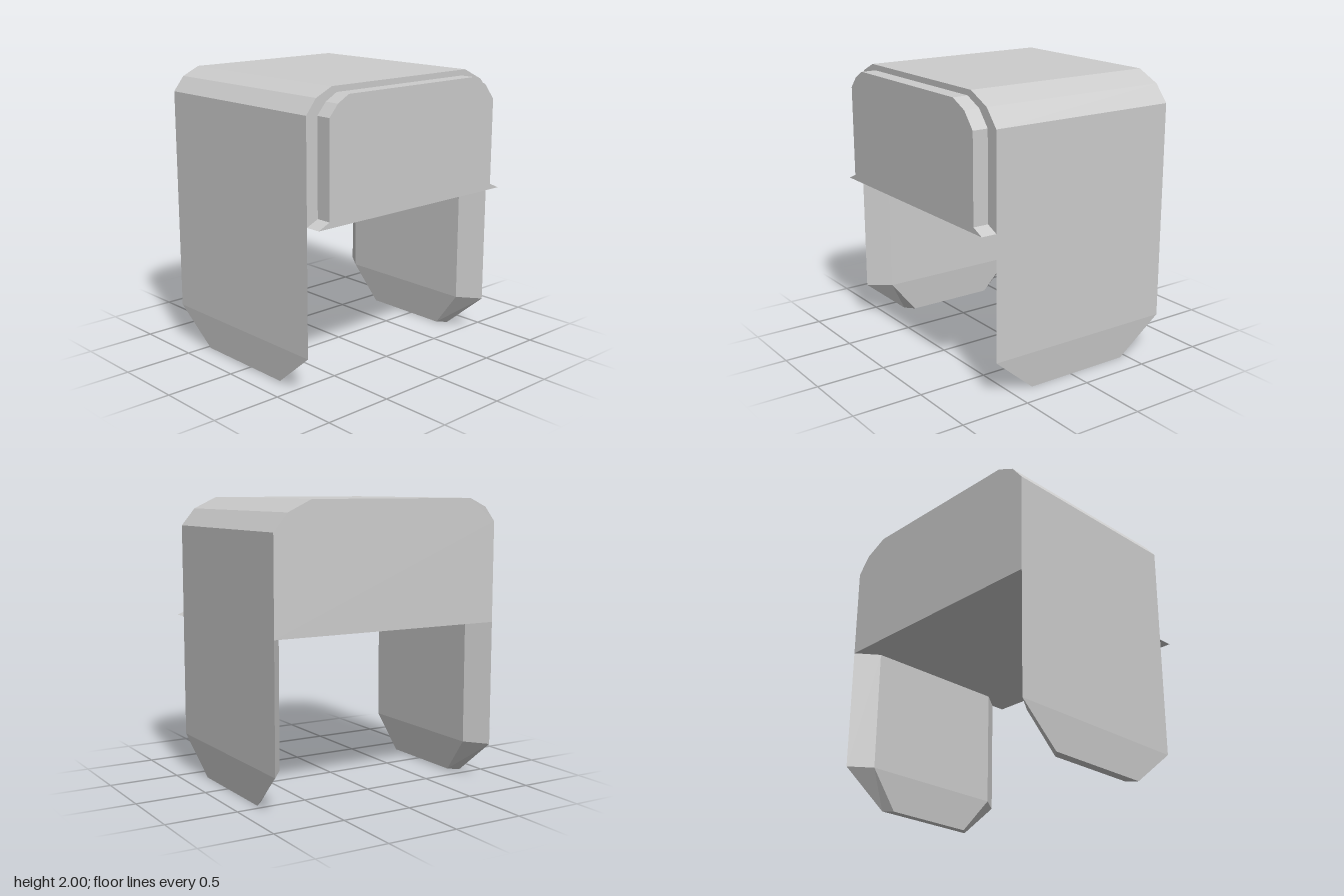
import * as THREE from 'three';

const material = new THREE.MeshStandardMaterial({ color: 0xcccccc, flatShading: true });

function addMesh(group, geometry, name) {
  const mesh = new THREE.Mesh(geometry, material);
  mesh.name = name;
  group.add(mesh);
}

// Solid made from a side outline of [z, y] points, running from x0 to x1
function sideExtrusion(points, x0, x1) {
  const shape = new THREE.Shape(points.map(([z, y]) => new THREE.Vector2(-z, y)));
  const geometry = new THREE.ExtrudeGeometry(shape, { depth: x1 - x0, bevelEnabled: false });
  return geometry.rotateY(Math.PI / 2).translate(x0, 0, 0);
}

// Four-cornered cross-sections joined from bottom to top, with a bottom cap.
// Each level gives y, outer and inner z, and the x range of both faces.
function flapGeometry(levels, side) {
  const rings = levels.map(({ y, outerZ, innerZ, outerX, innerX }) => {
    const ring = [
      [outerX[0], y, side * outerZ], [outerX[1], y, side * outerZ],
      [innerX[1], y, side * innerZ], [innerX[0], y, side * innerZ],
    ];
    return side > 0 ? ring : ring.reverse();
  });
  const positions = [];
  const quad = (a, b, c, d) => positions.push(...a, ...b, ...c, ...a, ...c, ...d);
  for (let k = 0; k < rings.length - 1; k++) {
    const low = rings[k], high = rings[k + 1];
    for (let i = 0; i < 4; i++) {
      const j = (i + 1) % 4;
      quad(low[i], low[j], high[j], high[i]);
    }
  }
  quad(...[...rings[0]].reverse());
  const geometry = new THREE.BufferGeometry();
  geometry.setAttribute('position', new THREE.Float32BufferAttribute(positions, 3));
  geometry.computeVertexNormals();
  return geometry;
}

export function createModel() {
  const group = new THREE.Group();
  group.name = 'bracketCover';

  // Main block with bevelled upper edges
  addMesh(group, sideExtrusion([
    [0.86, 1.14], [0.86, 1.84], [0.78, 1.94], [0.65, 2],
    [-0.59, 2], [-0.76, 1.92], [-0.86, 1.8], [-0.86, 1.14],
  ], -0.76, 0.645), 'body');

  // Inset end plate with a flared lower lip
  addMesh(group, sideExtrusion([
    [0.86, 1.14], [0.77, 1.18], [0.77, 1.83], [0.7, 1.91], [0.61, 1.96],
    [-0.555, 1.96], [-0.68, 1.9], [-0.77, 1.79], [-0.77, 1.18], [-0.86, 1.14],
  ], 0.645, 0.755), 'endPlate');

  // Hanging flaps: chamfered on the inside, tapered at the bottom
  const flaps = [
    { name: 'frontFlap', side: 1, bottomY: 0.01, tipOuter: 0.84, tipInner: 0.775 },
    { name: 'backFlap', side: -1, bottomY: 0, tipOuter: 0.83, tipInner: 0.775 },
  ];
  for (const { name, side, bottomY, tipOuter, tipInner } of flaps) {
    const full = { outerZ: 0.86, innerZ: 0.745, outerX: [-0.76, 0.645], innerX: [-0.605, 0.49] };
    const tip = { outerZ: tipOuter, innerZ: tipInner, outerX: [-0.45, 0.335], innerX: [-0.39, 0.275] };
    addMesh(group, flapGeometry([
      { y: bottomY, ...tip }, { y: 0.265, ...full }, { y: 1.14, ...full },
    ], side), name);
  }
  return group;
}
